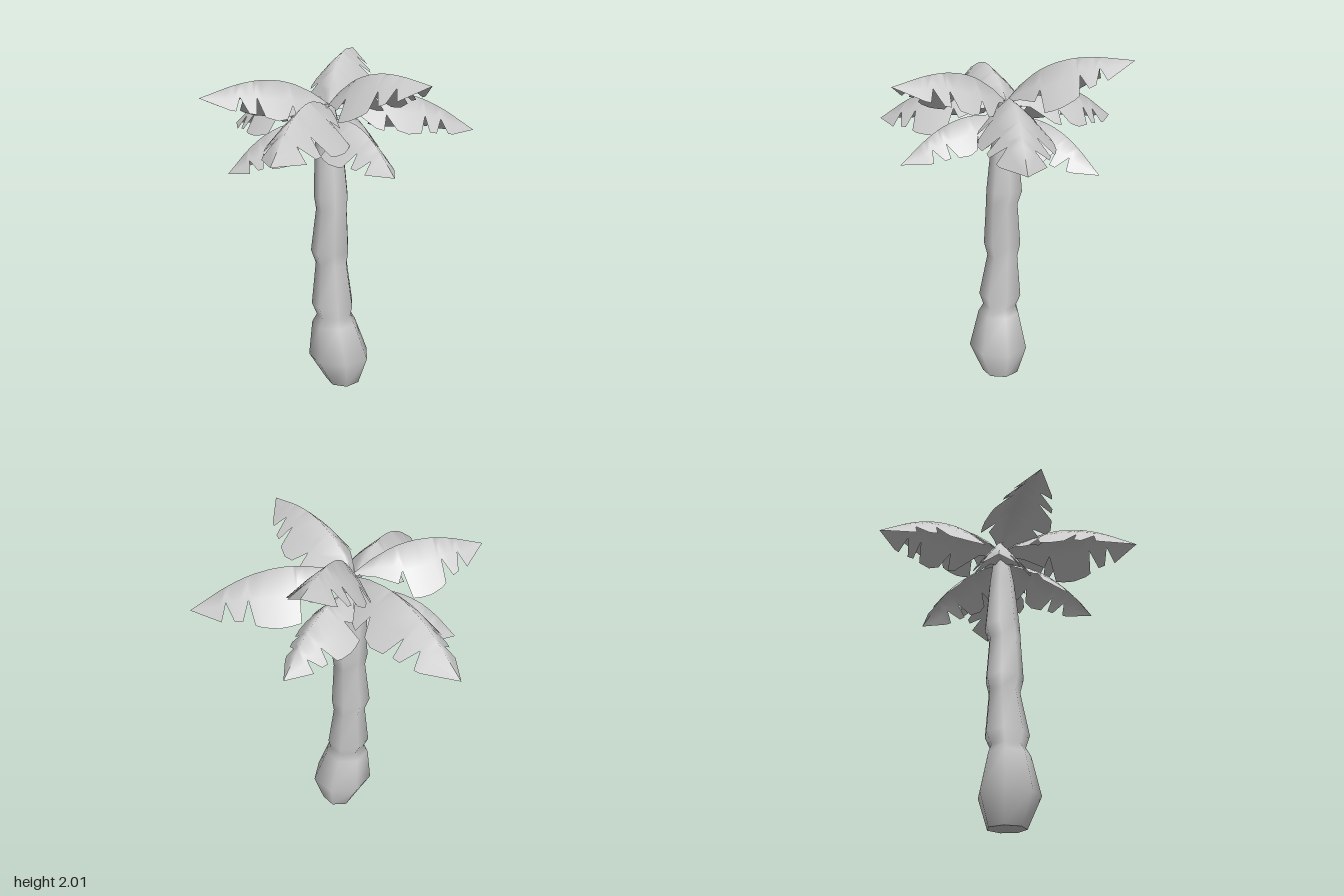
import * as THREE from 'three';
import { mergeVertices } from 'three/addons/utils/BufferGeometryUtils.js';

const SIDES = 7;

// Trunk rings: y, centre x, centre z, radius x, radius z
const RINGS = [
  [0, -0.01, 0.02, 0.105, 0.115],
  [0.18, -0.035, 0.03, 0.19, 0.185],
  [0.4, -0.065, 0.025, 0.138, 0.13],
  [0.45, -0.065, 0.02, 0.108, 0.105],
  [0.52, -0.072, 0.015, 0.13, 0.133],
  [0.78, -0.075, 0, 0.098, 0.095],
  [0.86, -0.083, 0, 0.118, 0.115],
  [1.12, -0.073, 0.003, 0.095, 0.098],
  [1.2, -0.073, -0.012, 0.105, 0.11],
  [1.5, -0.083, -0.015, 0.085, 0.08],
  [1.74, -0.09, -0.02, 0.04, 0.04],
];

// Leaf outline: position along the rib, left width, right width (dips are notches)
const LEAF = [
  [0, 0.05, 0.05], [0.14, 0.36, 0.34], [0.27, 0.66, 0.8], [0.32, 0.48, 0.86],
  [0.34, 0.97, 0.55], [0.4, 1, 0.85], [0.47, 1, 0.9], [0.56, 0.92, 0.82],
  [0.6, 0.85, 0.42], [0.62, 0.42, 0.74], [0.67, 0.72, 0.7], [0.72, 0.65, 0.32],
  [0.76, 0.28, 0.58], [0.8, 0.55, 0.52], [1, 0, 0],
];

// Leaf tips (x, y, z), root height and half width
const FRONDS = [
  [0.81, 1.55, -0.04, 1.73, 0.225],
  [0.21, 2.0, -0.69, 1.73, 0.215],
  [-0.56, 1.53, -0.74, 1.72, 0.225],
  [-0.82, 1.81, 0.14, 1.74, 0.215],
  [-0.52, 1.55, 0.73, 1.72, 0.225],
  [0.32, 1.9, 0.61, 1.73, 0.215],
  [-0.67, 1.34, -0.08, 1.64, 0.18],
  [0.14, 1.43, 0.59, 1.64, 0.18],
  [0.31, 1.39, -0.5, 1.64, 0.18],
];

function trunkGeometry() {
  const n = RINGS.length - 1;
  const g = new THREE.CylinderGeometry(1, 1, 1, SIDES, n, true);
  const p = g.attributes.position;
  for (let i = 0; i < p.count; i++) {
    const [y, cx, cz, rx, rz] = RINGS[Math.round((p.getY(i) + 0.5) * n)];
    p.setXYZ(i, cx + p.getX(i) * rx, y, cz + p.getZ(i) * rz);
  }
  g.deleteAttribute('uv');
  g.deleteAttribute('normal');
  const merged = mergeVertices(g);
  merged.computeVertexNormals();
  return merged;
}

// Arched leaf with a roof-like section hanging from its central rib
function frondGeometry([x, y, z, rootY, width], flip) {
  const root = new THREE.Vector3(-0.09, rootY, -0.02);
  const chord = new THREE.Vector3(x, y, z).sub(root);
  const length = chord.length();
  const side = new THREE.Vector3(-chord.z, 0, chord.x).normalize();
  const up = side.clone().cross(chord).normalize();
  if (up.y < 0) up.negate();
  const positions = [];
  const index = [];
  LEAF.forEach(([t, left, right], row) => {
    const rib = root.clone().addScaledVector(chord, t)
      .addScaledVector(up, 0.155 * length * Math.sin(Math.PI * Math.pow(t, 0.9)));
    const [a, b] = flip ? [right, left] : [left, right];
    for (const w of [-a, -a * 0.5, 0, b * 0.5, b]) {
      const s = Math.abs(w);
      const v = rib.clone().addScaledVector(side, w * width)
        .addScaledVector(up, -width * s * (0.85 + 0.2 * s))
        .addScaledVector(chord, 0.03 * s * t);
      positions.push(v.x, v.y, v.z);
    }
    if (row === 0) return;
    for (let c = 0; c < 4; c++) {
      const i = (row - 1) * 5 + c;
      const j = i + 5;
      index.push(i, i + 1, j, i + 1, j + 1, j);
    }
  });
  const g = new THREE.BufferGeometry();
  g.setAttribute('position', new THREE.Float32BufferAttribute(positions, 3));
  g.setIndex(index);
  g.computeVertexNormals();
  // Keep the upper side as the front
  if (g.attributes.normal.getY(7 * 5 + 2) < 0) {
    g.setIndex(index.reverse());
    g.computeVertexNormals();
  }
  return g;
}

export function createModel() {
  const model = new THREE.Group();
  model.name = 'palmTree';
  const bark = new THREE.MeshStandardMaterial({ color: 0xcccccc });
  const leaf = new THREE.MeshStandardMaterial({ color: 0xcccccc, side: THREE.DoubleSide });
  const add = (name, geometry, material) => {
    const mesh = new THREE.Mesh(geometry, material);
    mesh.name = name;
    model.add(mesh);
    return mesh;
  };

  add('trunk', trunkGeometry(), bark);

  // Flat underside matching the lowest trunk ring
  const [, cx, cz, rx, rz] = RINGS[0];
  const base = add('trunkBase', new THREE.CircleGeometry(1, SIDES, Math.PI / 2).rotateX(Math.PI / 2), bark);
  base.scale.set(rx, 1, rz);
  base.position.set(cx, 0, cz);

  FRONDS.forEach((f, i) => {
    const name = i < 6 ? `upperFrond${i + 1}` : `lowerFrond${i - 5}`;
    add(name, frondGeometry(f, i % 2 === 1), leaf);
  });
  return model;
}
